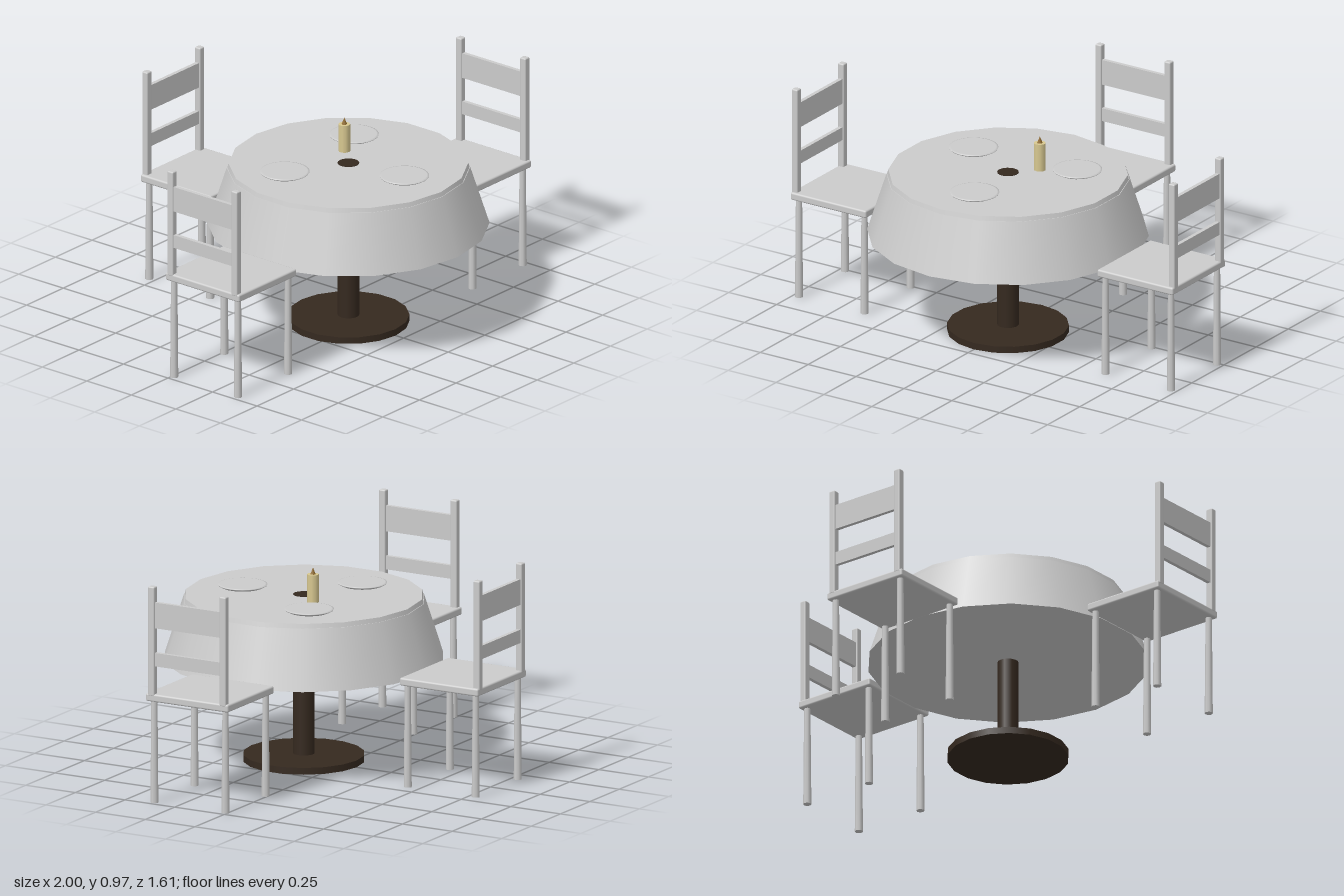
import * as THREE from 'three';
import { RoundedBoxGeometry } from 'three/addons/geometries/RoundedBoxGeometry.js';

const mat = (color) => new THREE.MeshStandardMaterial({ color });
const grey = mat(0xcccccc);
const wood = mat(0x35291f);
const wax = mat(0xd8c890);
const flameMat = mat(0x8f6a2c);
const TABLE_Z = 0.19;

function add(parent, name, geometry, material, x = 0, y = 0, z = 0) {
  const mesh = new THREE.Mesh(geometry, material);
  mesh.name = name;
  mesh.position.set(x, y, z);
  parent.add(mesh);
  return mesh;
}

// Chair built with its back towards -z, seat centred on the origin
function createChair() {
  const chair = new THREE.Group();
  chair.name = 'chair';
  add(chair, 'seat', new RoundedBoxGeometry(0.415, 0.035, 0.395, 2, 0.008), grey, 0, 0.473, 0);
  for (const side of [-1, 1]) {
    for (const z of [-0.17, 0.172]) {
      add(chair, 'leg', new THREE.CylinderGeometry(0.014, 0.018, 0.46, 8), grey, side * 0.179, 0.23, z);
    }
    add(chair, 'backPost', new RoundedBoxGeometry(0.032, 0.49, 0.031, 2, 0.006), grey, side * 0.18, 0.725, -0.183);
  }
  add(chair, 'topSlat', new THREE.BoxGeometry(0.34, 0.115, 0.018), grey, 0, 0.843, -0.183);
  add(chair, 'lowerSlat', new THREE.BoxGeometry(0.34, 0.06, 0.018), grey, 0, 0.645, -0.183);
  return chair;
}

function createTable() {
  const table = new THREE.Group();
  table.name = 'table';
  // Pedestal: its top shows just through the tabletop
  add(table, 'base', new THREE.CylinderGeometry(0.265, 0.265, 0.03, 18), wood, 0, 0.015, 0);
  add(table, 'column', new THREE.CylinderGeometry(0.047, 0.047, 0.722, 18), wood, 0, 0.381, 0);
  // Flared cloth with a closed underside, a short rim and the tabletop
  add(table, 'cloth', new THREE.CylinderGeometry(0.528, 0.612, 0.262, 18), grey, 0, 0.589, 0);
  add(table, 'tabletop', new THREE.CylinderGeometry(0.52, 0.526, 0.022, 18), grey, 0, 0.729, 0);
  return table;
}

function createPlate() {
  const profile = [[0, 0], [0.09, 0], [0.106, 0.008], [0.108, 0.012], [0.099, 0.014], [0, 0.013]];
  return new THREE.LatheGeometry(profile.map(([r, y]) => new THREE.Vector2(r, y)), 24);
}

export function createModel() {
  const model = new THREE.Group();
  model.name = 'diningSet';

  const table = createTable();
  table.position.z = TABLE_Z;
  model.add(table);

  // Three chairs: back, left and right
  for (const angle of [0, Math.PI / 2, -Math.PI / 2]) {
    const chair = createChair();
    chair.rotation.y = angle;
    chair.position.set(-Math.sin(angle) * 0.801, 0, TABLE_Z - Math.cos(angle) * 0.801);
    model.add(chair);
  }

  // Place settings
  for (const [x, z] of [[-0.27, 0.055], [0.247, 0.018], [0.023, 0.485]]) {
    add(model, 'plate', createPlate(), grey, x, 0.741, z);
  }

  // Candle
  const candle = new THREE.Group();
  candle.name = 'candle';
  candle.position.set(0.097, 0.74, 0.087);
  add(candle, 'candleBody', new THREE.CylinderGeometry(0.026, 0.026, 0.125, 10), wax, 0, 0.0625, 0);
  add(candle, 'flame', new THREE.ConeGeometry(0.012, 0.03, 8), flameMat, 0, 0.14, 0);
  model.add(candle);

  return model;
}
